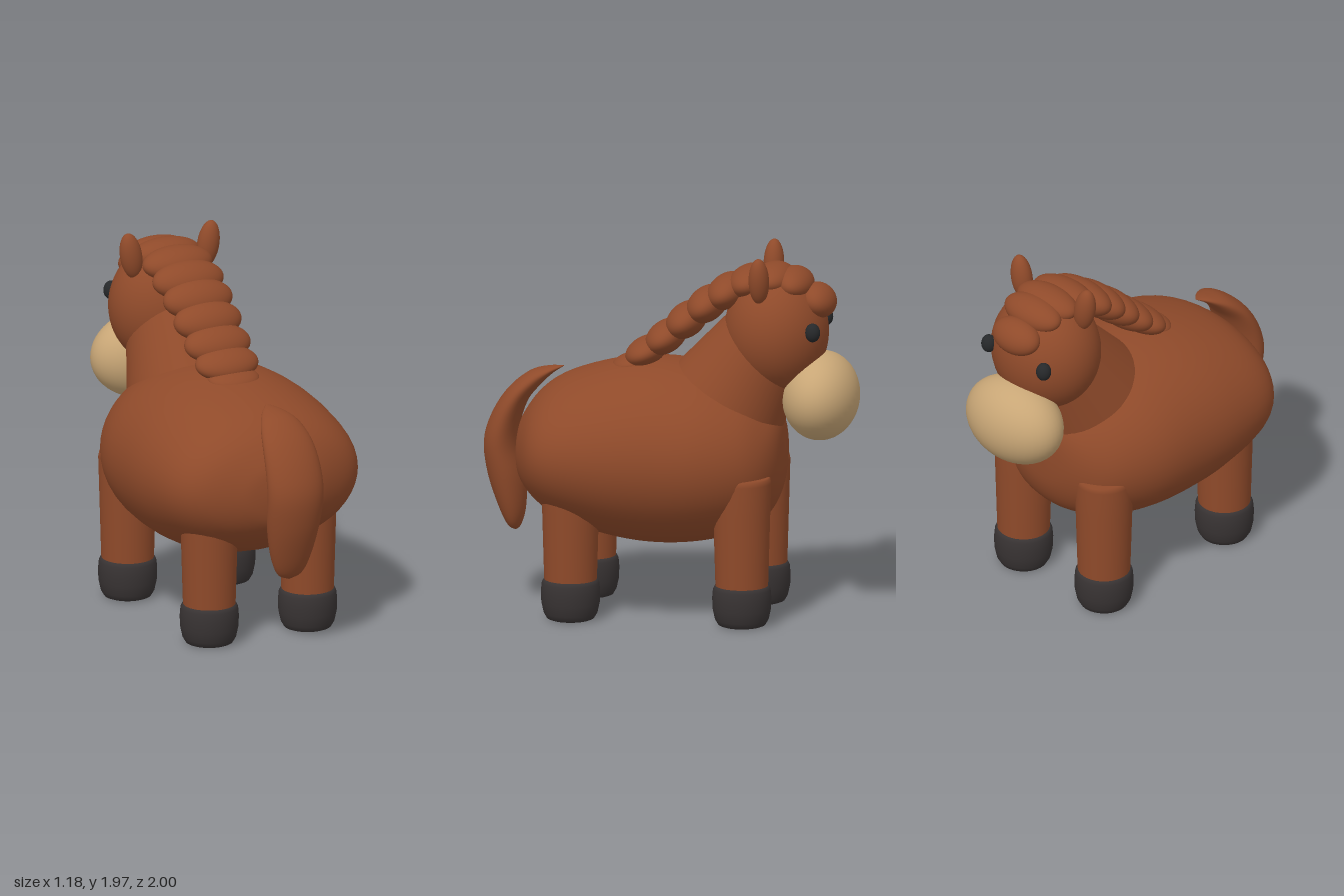
import * as THREE from 'three';
import { mergeVertices } from 'three/addons/utils/BufferGeometryUtils.js';

const mat = (name, color) => {
  const m = new THREE.MeshStandardMaterial({ color });
  m.name = name;
  return m;
};

// Smooth skin through elliptical sections [halfWidth, yA, zA, yB, zB]
function loft(sections, steps = 64, sides = 48) {
  const curve = (f) => new THREE.CatmullRomCurve3(sections.map(f), false, 'catmullrom', 0.5);
  const a = curve(([w, y, z]) => new THREE.Vector3(w, y, z));
  const b = curve(([w, , , y, z]) => new THREE.Vector3(w, y, z));
  const pos = [], idx = [];
  for (let i = 0; i <= steps; i++) {
    const p = a.getPoint(i / steps), q = b.getPoint(i / steps);
    const w = Math.max(p.x, 0);
    for (let j = 0; j < sides; j++) {
      const t = (j / sides) * Math.PI * 2, k = Math.sin(t) / 2;
      pos.push(w * Math.cos(t), (p.y + q.y) / 2 + (p.y - q.y) * k, (p.z + q.z) / 2 + (p.z - q.z) * k);
      if (i === steps) continue;
      const n = (j + 1) % sides, r = i * sides, s = r + sides;
      idx.push(r + j, s + j, r + n, s + j, s + n, r + n);
    }
  }
  const g = new THREE.BufferGeometry();
  g.setAttribute('position', new THREE.Float32BufferAttribute(pos, 3));
  g.setIndex(idx);
  const merged = mergeVertices(g, 1e-5);
  merged.computeVertexNormals();
  return merged;
}

export function createModel() {
  const model = new THREE.Group();
  model.name = 'horse';
  const coat = mat('chestnut coat', 0x8f4a2a);
  const tan = mat('tan muzzle', 0xc8a676);
  const dark = mat('dark hoof', 0x383333);
  const black = mat('eye black', 0x26282a);

  const add = (name, geo, material, x = 0, y = 0, z = 0) => {
    const m = new THREE.Mesh(geo, material);
    m.name = name;
    m.position.set(x, y, z);
    model.add(m);
    return m;
  };
  const ball = new THREE.SphereGeometry(1, 40, 28);
  const blob = (name, material, p, r, rx = 0, rz = 0) => {
    const m = add(name, ball, material, ...p);
    m.scale.set(...r);
    m.rotation.set(rx, 0, rz);
    return m;
  };

  // Barrel body: z, half width, bottom, top
  const body = [
    [0.82, 0, 0.86, 0.86], [0.81, 0.14, 0.75, 0.96], [0.78, 0.27, 0.67, 1.05],
    [0.69, 0.46, 0.58, 1.17], [0.55, 0.555, 0.49, 1.26], [0.3, 0.59, 0.41, 1.335],
    [0.05, 0.585, 0.38, 1.36], [-0.2, 0.555, 0.4, 1.33], [-0.4, 0.47, 0.46, 1.25],
    [-0.52, 0.36, 0.54, 1.15], [-0.59, 0.2, 0.68, 1.05], [-0.61, 0, 0.87, 0.87],
  ];
  add('body', loft(body.map(([z, w, lo, hi]) => [w, hi, z, lo, z])), coat);

  // Tail, from its lower end up to the pointed root (outer then inner edge)
  add('tail', loft([
    [0, 0.4, 0.835, 0.4, 0.835], [0.07, 0.44, 0.88, 0.43, 0.805], [0.115, 0.55, 0.93, 0.53, 0.78],
    [0.148, 0.72, 0.983, 0.7, 0.78], [0.16, 0.89, 1.0, 0.86, 0.815], [0.158, 1.04, 0.955, 0.98, 0.81],
    [0.145, 1.17, 0.87, 1.1, 0.77], [0.115, 1.26, 0.76, 1.18, 0.71], [0.065, 1.29, 0.66, 1.25, 0.64],
    [0, 1.297, 0.575, 1.295, 0.575],
  ], 48, 36), coat);

  // Neck: leaning tapered cylinder
  const neck = add('neck', new THREE.CylinderGeometry(0.24, 0.36, 0.5, 48), coat, 0, 1.27, -0.37);
  neck.rotation.x = -0.54;

  // Head and muzzle
  blob('head', coat, [0, 1.53, -0.56], [0.305, 0.33, 0.275]);
  blob('muzzle', tan, [0, 1.19, -0.797], [0.3, 0.235, 0.203]);

  // Mane and forelock: y, z, half width, length, thickness, tilt
  [
    [1.33, 0.21, 0.145, 0.11, 0.05, 0.2],
    [1.395, 0.135, 0.18, 0.115, 0.075, 0.4],
    [1.475, 0.03, 0.19, 0.115, 0.085, 0.55],
    [1.57, -0.08, 0.195, 0.115, 0.09, 0.6],
    [1.66, -0.19, 0.2, 0.115, 0.09, 0.6],
    [1.735, -0.3, 0.205, 0.115, 0.09, 0.5],
    [1.795, -0.42, 0.2, 0.115, 0.085, 0.25],
    [1.815, -0.55, 0.195, 0.11, 0.08, 0],
    [1.795, -0.66, 0.185, 0.1, 0.08, -0.3],
    [1.705, -0.785, 0.15, 0.1, 0.085, -0.7],
  ].forEach(([y, z, w, len, thick, tilt], i) =>
    blob('maneLock' + (i + 1), coat, [0, y, z], [w, thick, len], tilt));

  // Legs and hooves are lathed; ears and eyes are mirrored
  const lathe = (pts) => new THREE.LatheGeometry(pts.map(([r, y]) => new THREE.Vector2(r, y)), 40);
  const legGeo = lathe([[0.136, 0.15], [0.14, 0.25], [0.15, 0.6], [0.155, 0.77], [0.15, 0.795], [0.14, 0.8], [0, 0.8]]);
  const hoofGeo = lathe([
    [0, 0], [0.11, 0], [0.125, 0.006], [0.142, 0.035], [0.154, 0.09],
    [0.156, 0.15], [0.152, 0.195], [0.143, 0.213], [0.13, 0.22], [0, 0.22],
  ]);
  for (const [side, s] of [['left', 1], ['right', -1]]) {
    for (const [end, z] of [['Front', -0.425], ['Back', 0.49]]) {
      add(side + end + 'Leg', legGeo, coat, s * 0.293, 0, z);
      add(side + end + 'Hoof', hoofGeo, dark, s * 0.293, 0, z);
    }
    blob(side + 'Ear', coat, [s * 0.23, 1.842, -0.505], [0.06, 0.127, 0.054], 0, s * -0.17);
    blob(side + 'Eye', black, [s * 0.2, 1.57, -0.787], [0.04, 0.05, 0.04]);
  }
  return model;
}
